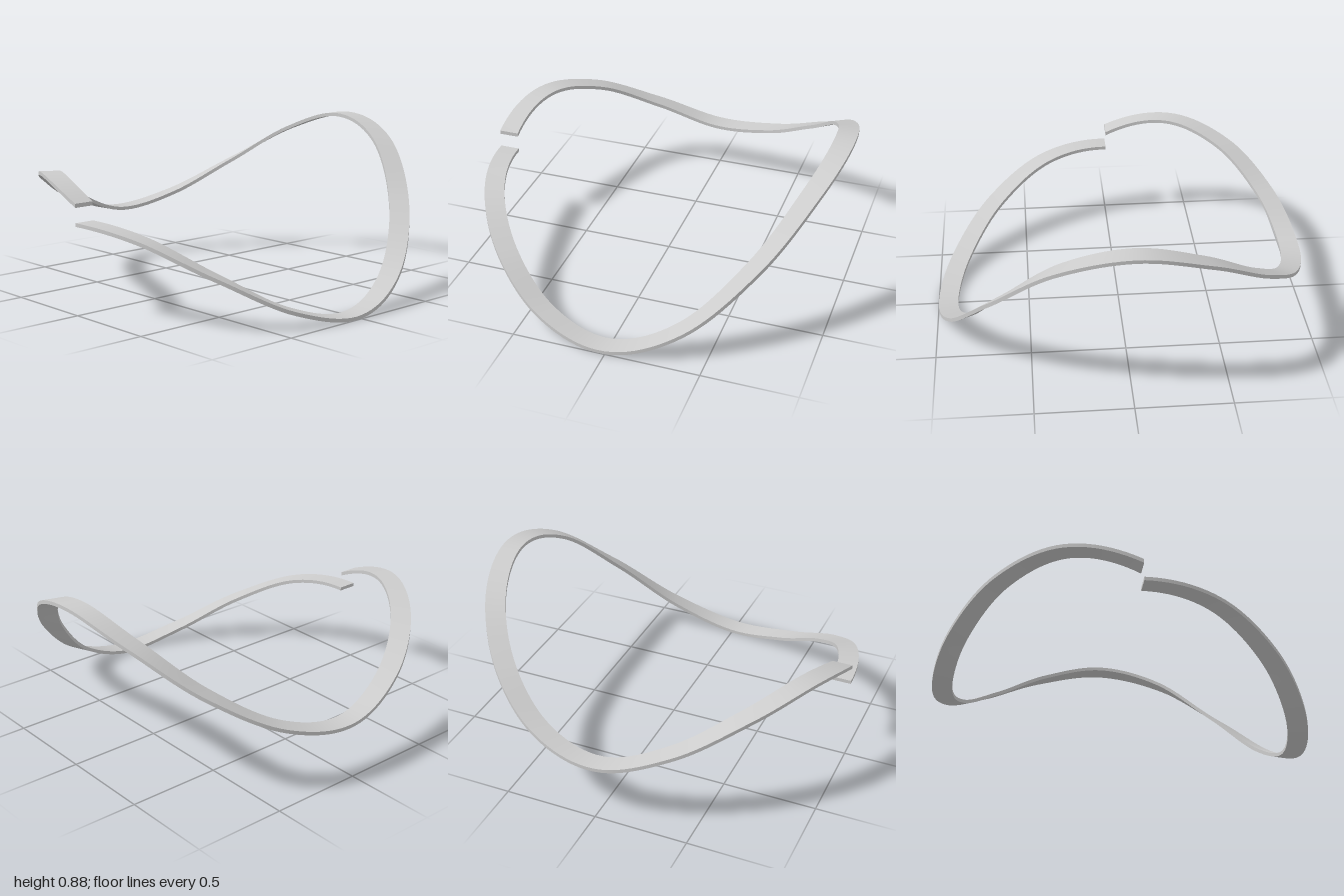
import * as THREE from 'three';
import { toCreasedNormals } from 'three/addons/utils/BufferGeometryUtils.js';

const OUTER = 1, INNER = 0.893, HALF_THICKNESS = 0.0095, SEGMENTS = 160;

// Mid-height of the strip every 1/16 turn, from the front gap towards +x;
// the first and last values only set the slope at the two ends.
const HEIGHTS = [
  0.405,
  0.462, 0.418, 0.257, 0.078, 0.0105, 0.154, 0.458, 0.755, 0.866,
  0.762, 0.55, 0.362, 0.298, 0.42, 0.584, 0.658, 0.558,
  0.32,
];
const wave = new THREE.SplineCurve(HEIGHTS.map((y, i) => new THREE.Vector2((i - 1) / 16, y)));

// Height at fraction f of the full turn
function heightAt(f) {
  return wave.getPoint((1 + 16 * f) / (HEIGHTS.length - 1)).y;
}

// Sweep a rectangular section round the circle, following the wave
function waveStripGeometry() {
  const positions = [], indices = [];
  for (let i = 0; i <= SEGMENTS; i++) {
    const f = i / SEGMENTS, angle = f * Math.PI * 2, y = heightAt(f);
    const e = 0.002;
    const slope = (heightAt(f + e) - heightAt(f - e)) / (2 * e * Math.PI * 2);
    const h = HALF_THICKNESS * Math.hypot(1, slope);
    for (const [r, dy] of [[OUTER, -h], [OUTER, h], [INNER, h], [INNER, -h]]) {
      positions.push(r * Math.sin(angle), Math.max(0, y + dy), r * Math.cos(angle));
    }
  }
  for (let i = 0; i < SEGMENTS; i++) {
    for (let k = 0; k < 4; k++) {
      const n = (k + 1) % 4;
      const a = i * 4 + k, b = a + 4, c = i * 4 + 4 + n, d = i * 4 + n;
      indices.push(a, b, c, a, c, d);
    }
  }
  // Cut ends
  const last = SEGMENTS * 4;
  indices.push(0, 1, 2, 0, 2, 3);
  indices.push(last, last + 2, last + 1, last, last + 3, last + 2);

  const geometry = new THREE.BufferGeometry();
  geometry.setAttribute('position', new THREE.Float32BufferAttribute(positions, 3));
  geometry.setIndex(indices);
  return toCreasedNormals(geometry, Math.PI / 5);
}

export function createModel() {
  const group = new THREE.Group();
  group.name = 'waveWasher';
  const strip = new THREE.Mesh(
    waveStripGeometry(),
    new THREE.MeshStandardMaterial({ color: 0xcccccc }),
  );
  strip.name = 'wavyRing';
  group.add(strip);
  return group;
}
